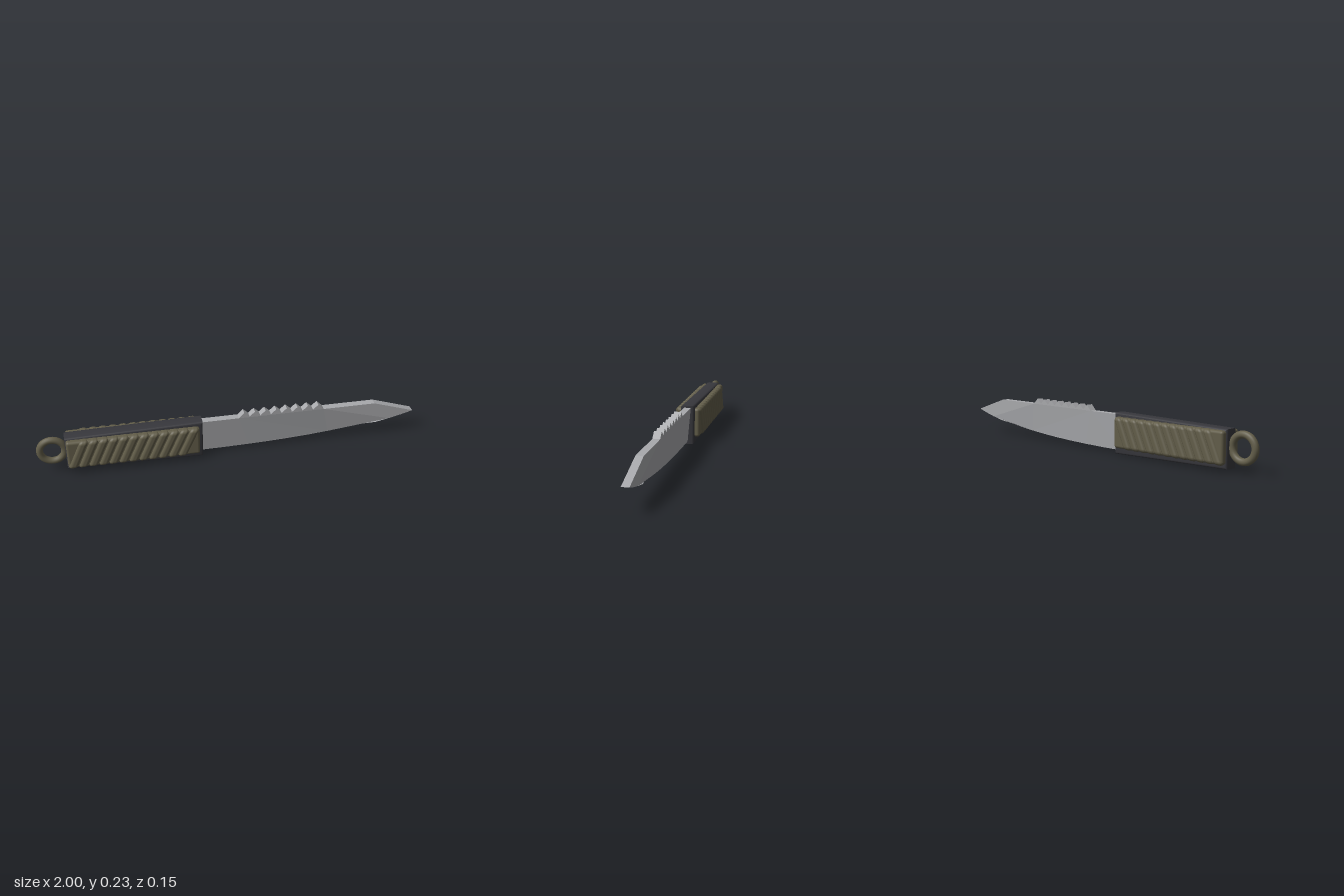
import * as THREE from 'three';
import { toCreasedNormals } from 'three/addons/utils/BufferGeometryUtils.js';
import { RoundedBoxGeometry } from 'three/addons/geometries/RoundedBoxGeometry.js';

const material = (name, color) => {
  const m = new THREE.MeshStandardMaterial({ color });
  m.name = name;
  return m;
};

function addMesh(parent, name, geometry, mat) {
  const mesh = new THREE.Mesh(geometry, mat);
  mesh.name = name;
  parent.add(mesh);
  return mesh;
}

// Blade: saw-backed outline, with the belly pinched to a cutting edge
function bladeGeometry() {
  const half = 0.019;
  const shape = new THREE.Shape();
  shape.moveTo(-0.16, 0.015);
  shape.quadraticCurveTo(0.65, 0.015, 1, 0.13);
  shape.lineTo(0.78, 0.202);
  shape.lineTo(0.5, 0.202);
  const pitch = 0.0567, teeth = 8;
  for (let i = teeth - 1; i >= 0; i--) {
    const peak = 0.072 + i * pitch;
    shape.lineTo(peak, 0.232);
    shape.lineTo(peak - pitch / 2, i > 0 ? 0.206 : 0.202);
  }
  shape.lineTo(-0.16, 0.202);
  const geo = new THREE.ExtrudeGeometry(shape, { depth: half * 2, bevelEnabled: false, curveSegments: 12 });
  geo.translate(0, 0, -half);
  const pos = geo.attributes.position;
  for (let i = 0; i < pos.count; i++) {
    if (pos.getY(i) < 0.075) pos.setZ(i, pos.getZ(i) * 0.1);
  }
  geo.computeVertexNormals();
  return geo;
}

// Handle core: slab that widens towards the blade, edges rounded
function coreGeometry() {
  const b = 0.012, half = 0.037;
  const shape = new THREE.Shape([
    new THREE.Vector2(-0.852 + b, 0.014 + b),
    new THREE.Vector2(-0.148 - b, b),
    new THREE.Vector2(-0.148 - b, 0.213 - b),
    new THREE.Vector2(-0.852 + b, 0.201 - b),
  ]);
  const geo = new THREE.ExtrudeGeometry(shape, {
    depth: (half - b) * 2, bevelSize: b, bevelThickness: b, bevelSegments: 3,
  });
  geo.translate(0, 0, -(half - b));
  return toCreasedNormals(geo, 0.7);
}

export function createModel() {
  const steel = material('steel', 0xa8a9ac);
  const black = material('black handle', 0x37373c);
  const olive = material('olive cord', 0x625d49);

  const model = new THREE.Group();
  model.name = 'knife';

  addMesh(model, 'blade', bladeGeometry(), steel);
  addMesh(model, 'handleCore', coreGeometry(), black);

  // Cord wrap on each side: backing pad and a row of slanted cords
  const pad = new RoundedBoxGeometry(0.68, 0.158, 0.04, 3, 0.014);
  const cord = new RoundedBoxGeometry(0.051, 0.162, 0.05, 4, 0.02);
  cord.applyMatrix4(new THREE.Matrix4().makeShear(0, 0, 0.45, 0, 0, 0));
  const cords = 12, first = -0.79, last = -0.228;
  for (const side of [1, -1]) {
    const grip = new THREE.Group();
    grip.name = side > 0 ? 'frontGrip' : 'backGrip';
    addMesh(grip, 'gripPad', pad, olive).position.set(-0.507, 0.115, side * 0.043);
    for (let i = 0; i < cords; i++) {
      const x = first + (last - first) * i / (cords - 1);
      addMesh(grip, 'gripCord', cord, olive).position.set(x, 0.115, side * 0.048);
    }
    model.add(grip);
  }

  // Lanyard ring at the butt
  const ring = addMesh(model, 'lanyardRing', new THREE.TorusGeometry(0.063, 0.018, 14, 36), olive);
  ring.position.set(-0.919, 0.118, 0);

  return model;
}
